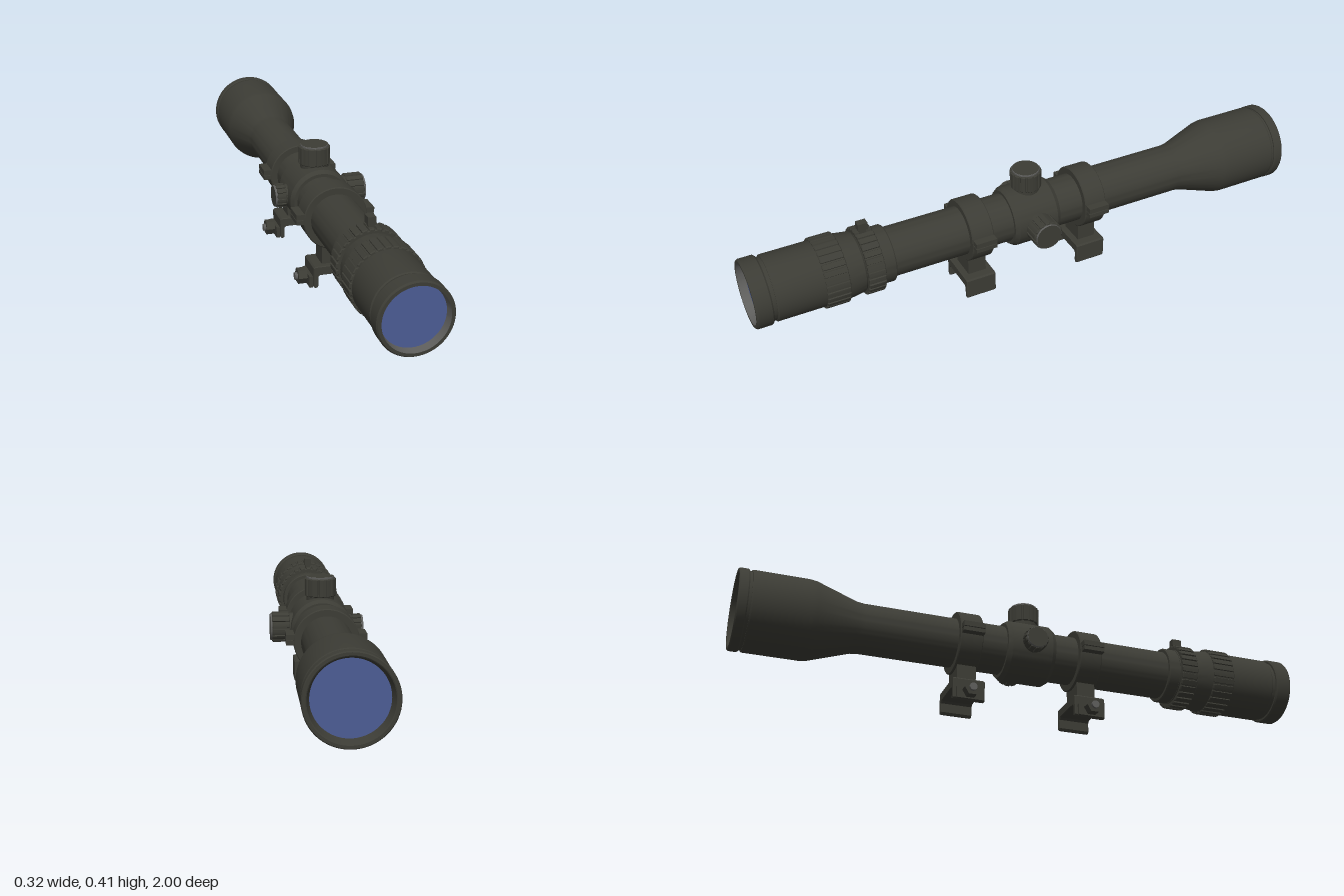
import * as THREE from 'three';
import { toCreasedNormals } from 'three/addons/utils/BufferGeometryUtils.js';

const AX = -0.015, AY = 0.24; // optical axis

function material(name, color) {
  const m = new THREE.MeshStandardMaterial({ color });
  m.name = name;
  return m;
}
const body = material('dark olive metal', 0x3c3c35);
const grey = material('bare grey metal', 0x5e5e5c);
const glass = material('blue glass', 0x4c5c94);

function add(parent, name, geo, x = 0, y = 0, z = 0, mat = body) {
  const m = new THREE.Mesh(geo, mat);
  m.name = name;
  m.position.set(x, y, z);
  parent.add(m);
  return m;
}

// Surface of revolution around z; points are [radius, z]
function turned(points, segments = 64) {
  const g = new THREE.LatheGeometry(points.map(p => new THREE.Vector2(p[0], p[1])), segments);
  g.rotateX(Math.PI / 2);
  return toCreasedNormals(g, 0.35);
}

// Ribbed cylinder along z, centred on its length
function ribbed(r, depth, ribs, length, bevel = 0.003) {
  const pts = [];
  const step = (Math.PI * 2) / ribs;
  for (let i = 0; i < ribs; i++) {
    for (const [f, rad] of [[0, r - depth], [0.2, r - depth], [0.26, r], [0.6, r], [0.94, r]]) {
      const a = (i + f) * step;
      pts.push(new THREE.Vector2(Math.cos(a) * rad, Math.sin(a) * rad));
    }
  }
  const g = new THREE.ExtrudeGeometry(new THREE.Shape(pts), {
    depth: length - 2 * bevel, bevelEnabled: true, bevelThickness: bevel,
    bevelSize: bevel, bevelOffset: -bevel, bevelSegments: 1
  });
  g.translate(0, 0, -length / 2 + bevel);
  return toCreasedNormals(g, 0.4);
}

// Adjustment knob growing along +z from the tube axis
function turret(name, r, base, top) {
  const g = new THREE.Group();
  g.name = name;
  add(g, 'knobCollar', turned([[r * 0.9, 0.06], [r * 0.9, base + 0.008]], 32));
  add(g, 'knobGrip', ribbed(r, 0.004, 14, top - 0.006 - base), 0, 0, (base + top - 0.006) / 2);
  add(g, 'knobCapEdge', turned([[r * 0.88, top - 0.008], [r * 0.88, top - 0.001], [r * 0.86, top]], 32), 0, 0, 0, grey);
  add(g, 'knobCap', new THREE.CircleGeometry(r * 0.86, 32), 0, 0, top);
  return g;
}

// Mounting ring with split lugs, pedestal, rail clamp and clamp nut
function mount(name, z) {
  const g = new THREE.Group();
  g.name = name;
  g.position.z = z;
  const w = 0.04;
  add(g, 'ring', turned([[0.084, -w], [0.106, -w], [0.109, -w + 0.003], [0.109, w - 0.003],
    [0.106, w], [0.084, w]]), AX, AY, 0);
  for (const s of [-1, 1]) {
    for (const [y, h] of [[0.237, 0.014], [0.256, 0.018]])
      add(g, 'ringLug', new THREE.BoxGeometry(0.035, h, 0.076), AX + s * 0.116, y, 0);
    for (const dz of [-0.02, 0.02])
      add(g, 'ringScrew', new THREE.CylinderGeometry(0.007, 0.007, 0.034, 16), AX + s * 0.122, 0.248, dz);
  }
  add(g, 'pedestal', new THREE.BoxGeometry(0.093, 0.075, 0.066), AX, 0.113, 0);

  // Clamp cross-section
  const b = 0.004;
  const outline = [[-0.095, 0.007], [-0.09, 0.002], [-0.083, 0.002], [-0.079, 0.007], [-0.079, 0.04], [-0.073, 0.047],
    [0.043, 0.047], [0.049, 0.04], [0.049, 0.009], [0.054, 0.002], [0.061, 0.002], [0.065, 0.007],
    [0.065, 0.074], [0.06, 0.079], [-0.09, 0.079], [-0.095, 0.074]];
  const clamp = new THREE.ExtrudeGeometry(new THREE.Shape(outline.map(p => new THREE.Vector2(...p))), {
    depth: 0.11 - 2 * b, bevelEnabled: true, bevelThickness: b, bevelSize: 0.002, bevelOffset: -0.002, bevelSegments: 1
  });
  clamp.translate(0, 0, -0.055 + b);
  add(g, 'railClamp', clamp);

  // Pressure plate, hexagonal nut and bolt end
  add(g, 'clampPlate', new THREE.BoxGeometry(0.012, 0.04, 0.09), -0.101, 0.022, 0);
  const alongX = (r, len, n) => new THREE.CylinderGeometry(r, r, len, n).rotateZ(Math.PI / 2);
  add(g, 'clampNut', toCreasedNormals(alongX(0.0275, 0.03, 6), 0.3), -0.123, 0.03, 0);
  add(g, 'clampBolt', alongX(0.013, 0.04, 20), -0.127, 0.03, 0, grey);
  return g;
}

export function createModel() {
  const root = new THREE.Group();
  root.name = 'riflescope';

  // Main tube with objective bell at the back and eyepiece at the front
  add(root, 'tube', turned([
    [0.112, -0.97], [0.122, -0.998], [0.125, -1], [0.134, -1], [0.137, -0.996], [0.137, -0.97], [0.134, -0.966],
    [0.13, -0.966], [0.13, -0.957], [0.134, -0.957], [0.136, -0.952], [0.136, -0.765], [0.133, -0.745],
    [0.088, -0.605], [0.085, -0.58], [0.085, 0.52],
    [0.095, 0.52], [0.098, 0.524], [0.098, 0.56], [0.1, 0.56], [0.1, 0.625], [0.104, 0.63], [0.111, 0.68],
    [0.112, 0.69], [0.112, 0.926], [0.109, 0.93], [0.106, 0.93], [0.106, 0.943], [0.113, 0.943],
    [0.117, 0.948], [0.117, 0.994], [0.113, 1], [0.103, 1]
  ]), AX, AY, 0);
  add(root, 'eyepieceInnerWall', turned([[0.103, 1], [0.099, 0.97]]), AX, AY, 0, grey);
  add(root, 'eyepieceLens', new THREE.CircleGeometry(0.1, 64), AX, AY, 0.972, glass);
  add(root, 'objectiveLens', new THREE.CircleGeometry(0.114, 64).rotateY(Math.PI), AX, AY, -0.972, glass);

  // Ribbed focus and magnification rings with thumb lever
  add(root, 'focusRing', ribbed(0.12, 0.004, 30, 0.08), AX, AY, 0.727);
  add(root, 'magnificationRing', ribbed(0.116, 0.005, 30, 0.06), AX, AY, 0.594);
  add(root, 'leverStem', new THREE.BoxGeometry(0.018, 0.05, 0.022), AX, 0.36, 0.597);
  add(root, 'leverHead', new THREE.BoxGeometry(0.026, 0.026, 0.034), AX, 0.377, 0.597);

  // Turret housing and three knobs
  add(root, 'turretHousing', turned([[0.084, -0.087], [0.096, -0.087], [0.106, -0.072], [0.106, 0.072],
    [0.096, 0.087], [0.084, 0.087]]), AX, AY, 0);
  const knobs = [
    ['elevationTurret', 0.054, 0.108, 0.177, -Math.PI / 2, 0],
    ['leftTurret', 0.053, 0.108, 0.175, 0, Math.PI / 2],
    ['rightTurret', 0.042, 0.108, 0.147, 0, -Math.PI / 2]
  ];
  for (const [name, r, base, top, rx, ry] of knobs) {
    const k = turret(name, r, base, top);
    k.position.set(AX, AY, 0);
    k.rotation.set(rx, ry, 0);
    root.add(k);
  }

  root.add(mount('frontMount', 0.213), mount('rearMount', -0.22));
  return root;
}
